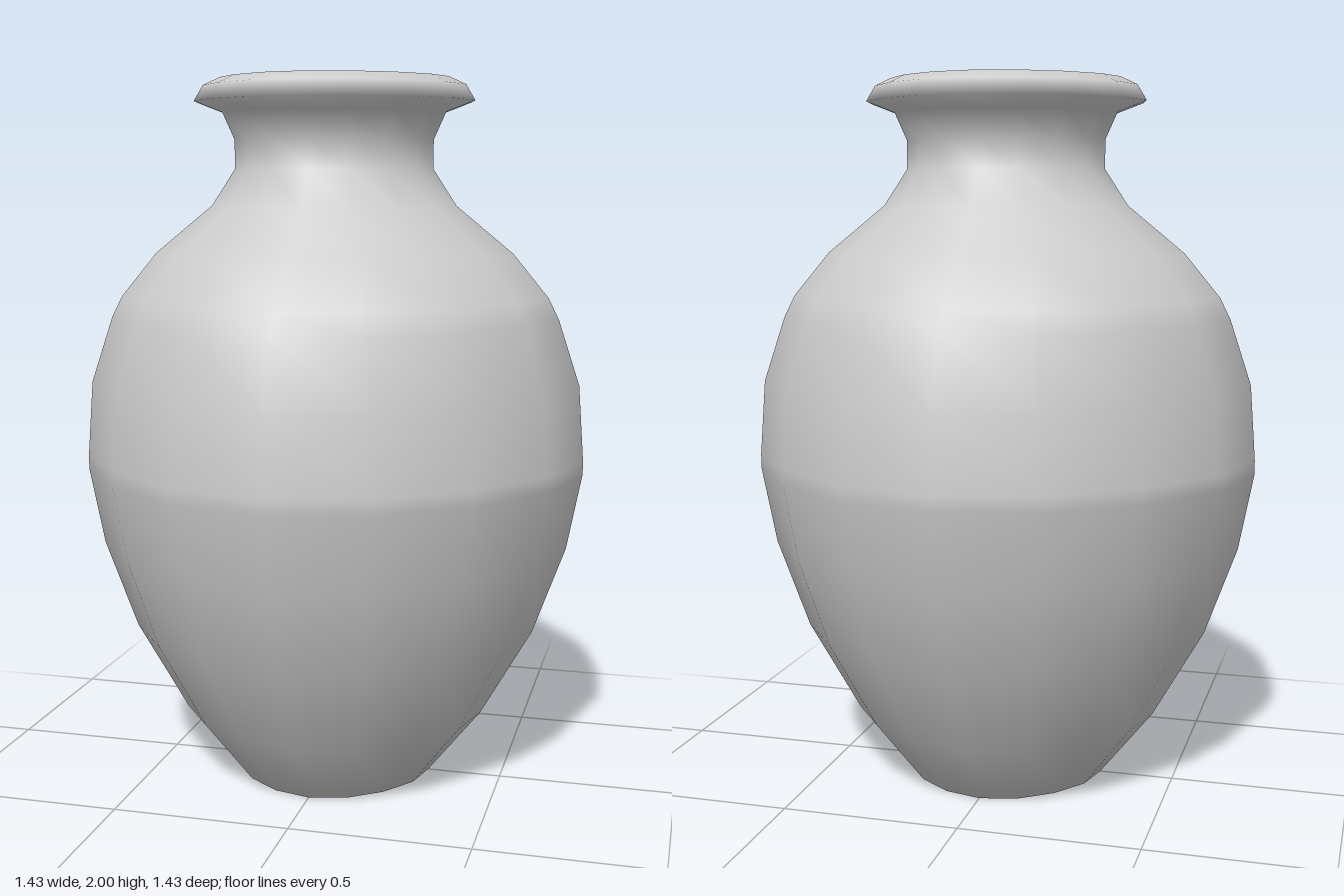
import * as THREE from 'three';
import { mergeVertices } from 'three/addons/utils/BufferGeometryUtils.js';

const SIDES = 16;

// Turn a [radius, height] profile, with slightly squared rings and smooth normals
function turned(profile) {
  const lathe = new THREE.LatheGeometry(profile.map(([r, y]) => new THREE.Vector2(r, y)), SIDES);
  const pos = lathe.attributes.position;
  for (let i = 0; i < pos.count; i++) {
    const x = pos.getX(i), z = pos.getZ(i);
    const phi = Math.atan2(x, z);
    const r = Math.hypot(x, z) * (0.981 + 0.019 * Math.cos(4 * phi));
    const a = phi - 0.012 * Math.sin(4 * phi);
    pos.setXYZ(i, r * Math.sin(a), pos.getY(i), r * Math.cos(a));
  }
  lathe.deleteAttribute('uv');
  lathe.deleteAttribute('normal');
  const geometry = mergeVertices(lathe, 1e-4);
  // drop the collapsed triangles at the poles
  const old = geometry.index.array, index = [];
  for (let i = 0; i < old.length; i += 3) {
    const [a, b, c] = [old[i], old[i + 1], old[i + 2]];
    if (a !== b && b !== c && c !== a) index.push(a, b, c);
  }
  geometry.setIndex(index);
  geometry.computeVertexNormals();
  return geometry;
}

export function createModel() {
  const clay = new THREE.MeshStandardMaterial({ color: 0xcccccc });
  clay.name = 'pale grey clay';

  // Belly and neck, from the base up to the underside of the lip
  const wall = [
    [0.288, 0], [0.44, 0.19], [0.585, 0.445], [0.675, 0.695], [0.716, 0.91], [0.716, 0.95],
    [0.7, 1.16], [0.64, 1.34], [0.61, 1.4], [0.51, 1.52], [0.35, 1.65],
    [0.284, 1.75], [0.284, 1.83], [0.318, 1.905],
  ];
  // Rolled lip, from outside to inside
  const lip = [[0.398, 1.935], [0.372, 1.978], [0.325, 2], [0.295, 1.99], [0.284, 1.965]];
  // Thin inner wall, running back down to the floor
  const inner = wall.map(([r, y]) => [r - 0.012, y + 0.008]).reverse();

  const model = new THREE.Group();
  model.name = 'vase';
  const body = new THREE.Mesh(turned([[0, 0], ...wall, ...lip, ...inner, [0, 0.008]]), clay);
  body.name = 'vaseBody';
  model.add(body);
  return model;
}
